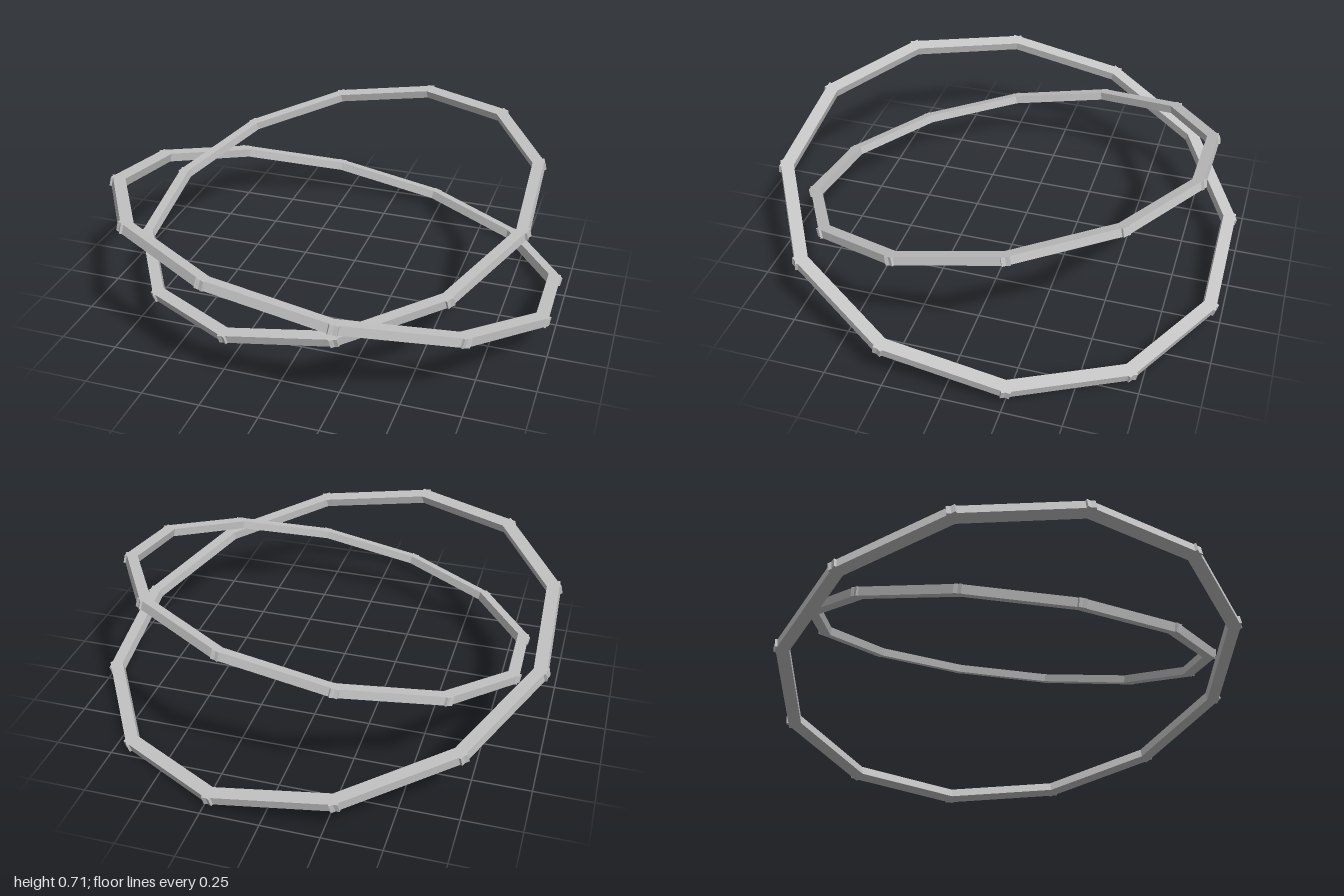
import * as THREE from 'three';

const SIDES = 12;
const DEGREE = Math.PI / 180;

// Ring of twelve straight bars whose ends overshoot slightly at each corner
function createRing(name, material, { apothem, width, height, y, direction }) {
  const ring = new THREE.Group();
  ring.name = name;
  const length = 2 * apothem * Math.tan(Math.PI / SIDES) * 1.1;
  const geometry = new THREE.BoxGeometry(length, height, width);
  for (let i = 0; i < SIDES; i++) {
    const angle = (i / SIDES) * Math.PI * 2;
    const bar = new THREE.Mesh(geometry, material);
    bar.name = 'ringBar';
    bar.position.set(Math.sin(angle) * apothem, 0, Math.cos(angle) * apothem);
    bar.rotation.y = angle;
    ring.add(bar);
  }
  // Tip about x first, then about z
  ring.rotation.set(direction * 12 * DEGREE, 0, direction * 10 * DEGREE, 'ZYX');
  ring.position.y = y;
  return ring;
}

export function createModel() {
  const model = new THREE.Group();
  model.name = 'crossedRings';
  const metal = new THREE.MeshStandardMaterial({ color: 0xc4c4c4 });
  metal.name = 'light grey metal';

  // Large low ring and smaller high ring, tilted opposite ways
  model.add(createRing('outerRing', metal, { apothem: 0.967, width: 0.055, height: 0.04, y: 0.302, direction: -1 }));
  model.add(createRing('innerRing', metal, { apothem: 0.854, width: 0.048, height: 0.037, y: 0.457, direction: 1 }));
  return model;
}
